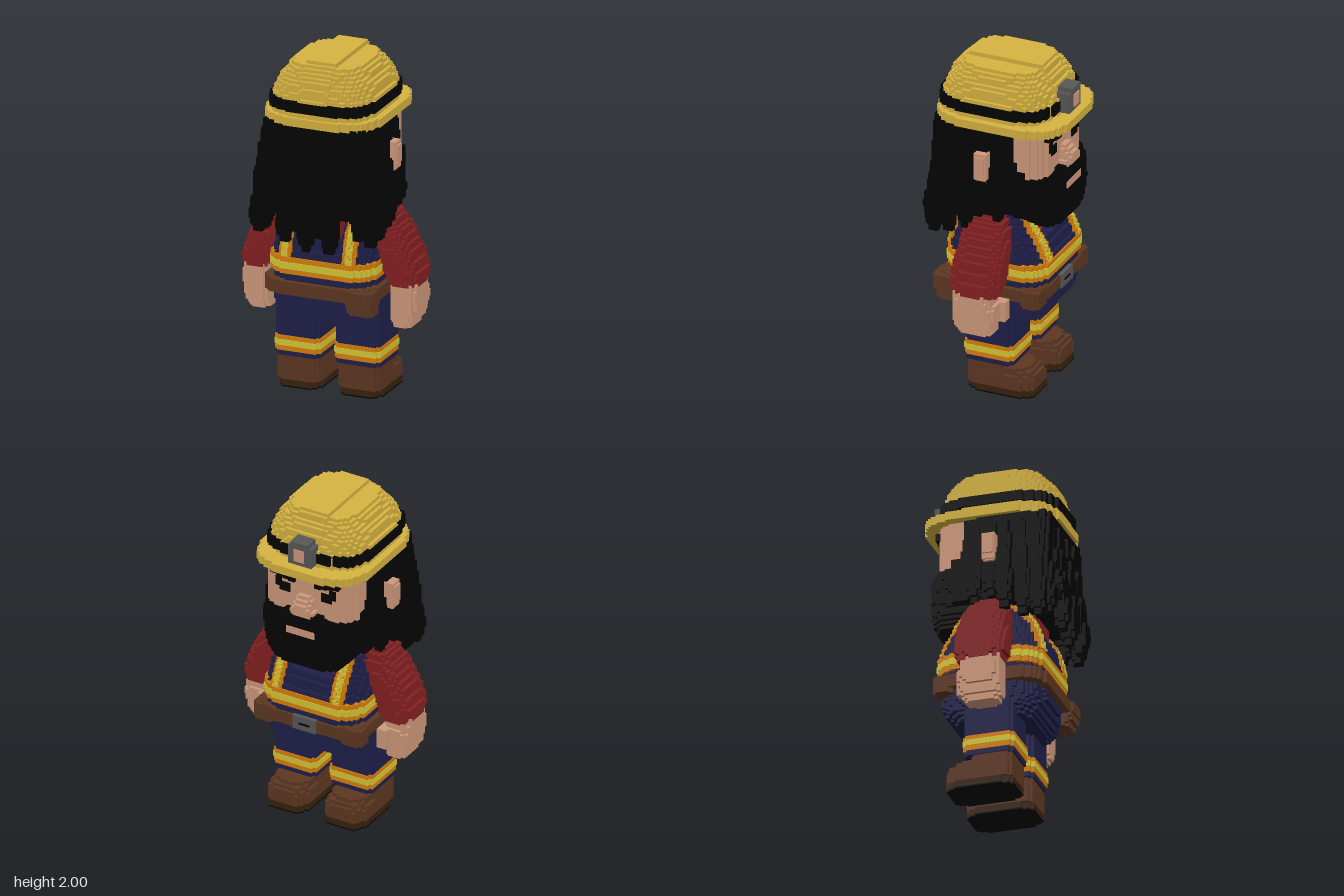
import * as THREE from 'three';

const mat = (name, color) => new THREE.MeshStandardMaterial({ name, color });
const M = {
  helmet: mat('helmet yellow', 0xd6b340), black: mat('black', 0x040404),
  skin: mat('skin', 0xcf997c), red: mat('shirt red', 0x862022),
  navy: mat('overall navy', 0x1f1f4a), orange: mat('safety orange', 0xd8800c),
  stripe: mat('reflective yellow', 0xd6c838), brown: mat('leather brown', 0x5e3722),
  sole: mat('dark sole', 0x38220e), grey: mat('metal grey', 0x585858),
};

// Interpolates rows of [y, x0, x1, z0, z1] at height y
function sectionAt(rows, y) {
  let i = 0;
  while (i < rows.length - 2 && y > rows[i + 1][0]) i++;
  const a = rows[i], b = rows[i + 1];
  const t = Math.min(1, Math.max(0, (y - a[0]) / (b[0] - a[0])));
  return a.map((v, k) => v + (b[k] - v) * t);
}

const step = (c, axis, d) => c.map((v, k) => (k === axis ? v + d : v));

// Fills rounded cross-sections with small cubes and keeps only the outer faces, joined into strips
function voxels(name, material, rows, p = 4, cell = 0.02, keep = () => true) {
  const col = (k, f) => f(...rows.map((r) => r[k]));
  const lo = [col(1, Math.min), rows[0][0], col(3, Math.min)];
  const hi = [col(2, Math.max), rows.at(-1)[0], col(4, Math.max)];
  const n = lo.map((v, k) => Math.max(1, Math.round((hi[k] - v) / cell)));
  const size = lo.map((v, k) => (hi[k] - v) / n[k]);
  const at = (k, i) => lo[k] + (i + 0.5) * size[k];
  const index = (c) => (c[0] * n[1] + c[1]) * n[2] + c[2];
  const grid = new Uint8Array(n[0] * n[1] * n[2]);
  const eachCell = (f) => {
    for (let i = 0; i < n[0]; i++) for (let j = 0; j < n[1]; j++) for (let k = 0; k < n[2]; k++) f([i, j, k]);
  };
  const sections = Array.from({ length: n[1] }, (_, j) => sectionAt(rows, at(1, j)));
  eachCell((c) => {
    const [, x0, x1, z0, z1] = sections[c[1]];
    const [x, y, z] = c.map((i, k) => at(k, i));
    const u = Math.abs((2 * x - x0 - x1) / (x1 - x0));
    const w = Math.abs((2 * z - z0 - z1) / (z1 - z0));
    grid[index(c)] = u ** p + w ** p <= 1 && keep(x, y, z) ? 1 : 0;
  });
  const filled = (c) => c.every((v, k) => v >= 0 && v < n[k]) && grid[index(c)] === 1;
  const pos = [];
  eachCell((c) => {
    if (!filled(c)) return;
    for (let a = 0; a < 3; a++) for (const s of [0, 1]) {
      const open = (q) => filled(q) && !filled(step(q, a, s ? 1 : -1));
      const run = a === 0 ? 2 : 0;
      if (!open(c) || open(step(c, run, -1))) continue;
      const extent = [1, 1, 1];
      while (open(step(c, run, extent[run]))) extent[run]++;
      const u = (a + 1) % 3, v = (a + 2) % 3;
      const q = [[0, 0], [1, 0], [1, 1], [0, 1]].map(([du, dv]) => {
        const corner = [...c];
        corner[a] += s; corner[u] += du * extent[u]; corner[v] += dv * extent[v];
        return corner.map((m, d) => lo[d] + m * size[d]);
      });
      for (const t of s ? [0, 1, 2, 0, 2, 3] : [0, 2, 1, 0, 3, 2]) pos.push(...q[t]);
    }
  });
  const g = new THREE.BufferGeometry();
  g.setAttribute('position', new THREE.Float32BufferAttribute(pos, 3));
  g.computeVertexNormals();
  const mesh = new THREE.Mesh(g, material);
  mesh.name = name;
  return mesh;
}

function box(name, material, x0, x1, y0, y1, z0, z1) {
  const m = new THREE.Mesh(new THREE.BoxGeometry(x1 - x0, y1 - y0, z1 - z0), material);
  m.position.set((x0 + x1) / 2, (y0 + y1) / 2, (z0 + z1) / 2);
  m.name = name;
  return m;
}

const flip = (rows) => rows.map(([y, a, b, c, d]) => [y, -b, -a, c, d]);
// Symmetric rows from [y, half width, front z, back z]
const sym = (rows) => rows.map(([y, w, f, b]) => [y, -w, w, f, b]);
const band = (y0, y1, w, f, b) => sym([[y0, w, f, b], [y1, w, f, b]]);

export function createModel() {
  const model = new THREE.Group();
  model.name = 'miner';
  const add = (...args) => model.add(voxels(...args));
  const addBox = (...args) => model.add(box(...args));

  // Legs, boots, arms and ears, mirrored
  for (const [side, s] of [['left', 1], ['right', -1]]) {
    const limb = (part, m, rows, p) => add(side + part, m, s > 0 ? rows : flip(rows), p);
    const slab = (part, m, y0, y1, x0, x1, z0, z1, p = 6) =>
      limb(part, m, [[y0, x0, x1, z0, z1], [y1, x0, x1, z0, z1]], p);
    slab('Leg', M.navy, 0.19, 0.54, 0.05, 0.318, -0.16, 0.13);
    slab('LegBand', M.orange, 0.22, 0.31, 0.044, 0.321, -0.165, 0.136);
    slab('LegStripe', M.stripe, 0.25, 0.285, 0.041, 0.324, -0.168, 0.139);
    slab('BootTread', M.black, 0, 0.008, 0.055, 0.315, -0.275, 0.122, 4);
    slab('BootSole', M.sole, 0.008, 0.045, 0.055, 0.315, -0.275, 0.122, 4);
    limb('BootFoot', M.brown, [[0.045, 0.056, 0.314, -0.273, 0.121], [0.11, 0.056, 0.314, -0.273, 0.121],
      [0.14, 0.07, 0.3, -0.255, 0.12], [0.17, 0.08, 0.29, -0.21, 0.12]], 4);
    slab('BootShaft', M.brown, 0.045, 0.2, 0.06, 0.312, -0.12, 0.12);
    limb('Sleeve', M.red, [[0.69, 0.37, 0.525, -0.13, 0.12], [0.75, 0.34, 0.535, -0.155, 0.14],
      [0.88, 0.3, 0.49, -0.16, 0.135], [1.0, 0.25, 0.43, -0.15, 0.12], [1.09, 0.2, 0.37, -0.12, 0.1],
      [1.13, 0.18, 0.32, -0.08, 0.06]], 3.4);
    limb('Hand', M.skin, [[0.44, 0.385, 0.48, -0.1, 0.1], [0.5, 0.375, 0.515, -0.12, 0.115],
      [0.6, 0.375, 0.53, -0.135, 0.115], [0.72, 0.375, 0.52, -0.11, 0.115]], 4.5);
    slab('Thumb', M.skin, 0.52, 0.64, 0.36, 0.42, -0.165, -0.05, 4);
    slab('Ear', M.skin, 1.36, 1.52, 0.29, 0.385, -0.03, 0.045);
    limb('EarLobe', M.skin, [[1.33, 0.3, 0.36, -0.01, 0.04], [1.42, 0.32, 0.395, -0.02, 0.04],
      [1.5, 0.32, 0.39, -0.02, 0.04]], 6);
    slab('BeltPouch', M.brown, 0.59, 0.69, 0.21, 0.35, -0.335, -0.22, 3);
  }

  // Hips and overalls
  add('hips', M.navy, sym([[0.45, 0.25, -0.24, 0.18], [0.5, 0.31, -0.3, 0.23], [0.56, 0.315, -0.33, 0.26],
    [0.68, 0.315, -0.33, 0.27]]), 4);
  const torso = [[0.68, 0.315, -0.335, 0.27], [0.84, 0.315, -0.335, 0.27], [0.93, 0.3, -0.3, 0.25],
    [1.01, 0.285, -0.25, 0.22], [1.08, 0.26, -0.22, 0.17], [1.14, 0.22, -0.17, 0.1]];
  add('overalls', M.navy, sym(torso), 4, 0.02, (x, y) => y < 0.97 || Math.abs(x) > 0.13);
  add('shirtCollar', M.red, band(0.95, 1.1, 0.16, -0.23, 0.205), 5);
  const grown = (e) => sym(torso.slice(1).map(([y, w, f, b]) => [y, w + e, f - e, b + e]));
  const strip = (c, h) => (x) => Math.abs(Math.abs(x) - c) < h;
  add('suspenders', M.orange, grown(0.018), 4, 0.0125, strip(0.195, 0.042));
  add('suspenderStripes', M.stripe, grown(0.025), 4, 0.0125, strip(0.19, 0.018));
  add('chestBand', M.orange, band(0.735, 0.835, 0.321, -0.342, 0.278), 5);
  add('chestStripe', M.stripe, band(0.765, 0.805, 0.325, -0.346, 0.282), 5);

  // Belt, buckle and back pouch
  add('belt', M.brown, band(0.62, 0.695, 0.345, -0.35, 0.305), 5);
  addBox('buckle', M.grey, -0.075, 0.075, 0.615, 0.7, -0.358, -0.33);
  addBox('buckleBar', M.black, -0.035, 0.035, 0.65, 0.662, -0.361, -0.355);
  add('backPouch', M.brown, [[0.545, 0.19, 0.34, 0.18, 0.28], [0.6, 0.19, 0.345, 0.17, 0.31],
    [0.64, 0.19, 0.345, 0.17, 0.31]], 5);
  add('backPouchFlap', M.brown, [[0.63, 0.185, 0.35, 0.16, 0.32], [0.69, 0.185, 0.35, 0.16, 0.32]], 5);

  // Head and face
  add('head', M.skin, band(1.34, 1.67, 0.29, -0.335, 0.2), 5);
  add('nose', M.skin, sym([[1.375, 0.05, -0.38, -0.3], [1.4, 0.075, -0.405, -0.3], [1.44, 0.06, -0.41, -0.3],
    [1.5, 0.035, -0.36, -0.3]]), 4);
  for (const s of [-1, 1]) {
    for (let i = 0; i < 4; i++) { // slanted brows
      const x = s * (0.085 + i * 0.038), y = 1.565 + i * 0.008;
      addBox('brow', M.black, x - 0.02, x + 0.02, y, y + 0.045, -0.355, -0.28);
    }
    addBox('eye', M.black, s * 0.135 - 0.035, s * 0.135 + 0.035, 1.485, 1.54, -0.342, -0.3);
    addBox('eyeCorner', M.black, s * 0.175 - 0.02, s * 0.175 + 0.02, 1.51, 1.57, -0.342, -0.3);
  }
  add('beard', M.black, sym([[1.05, 0.19, -0.37, -0.2], [1.1, 0.25, -0.39, -0.02], [1.2, 0.29, -0.395, 0.1],
    [1.32, 0.3, -0.385, 0.1], [1.37, 0.3, -0.365, 0.1]]), 4);
  add('moustache', M.black, sym([[1.3, 0.18, -0.4, -0.3], [1.35, 0.16, -0.4, -0.3], [1.395, 0.1, -0.37, -0.3]]), 6);
  addBox('mouth', M.skin, -0.09, 0.09, 1.26, 1.305, -0.402, -0.38);

  // Long hair with hanging locks, as [x, z, end height]
  add('hair', M.black, sym([[1.13, 0.335, -0.1, 0.34], [1.25, 0.345, -0.18, 0.36], [1.42, 0.335, -0.18, 0.345],
    [1.66, 0.315, -0.18, 0.335]]), 10);
  for (const s of [-1, 1]) addBox('sideburn', M.black, s * 0.295 - 0.03, s * 0.295 + 0.03, 1.15, 1.41, -0.23, -0.1);
  const locks = [[-0.02, 0.355, 0.925], [0.12, 0.35, 0.935], [-0.14, 0.345, 0.97], [0.05, 0.34, 1.01], [-0.08, 0.34, 1.03]];
  for (const s of [-1, 1]) {
    for (const [x, z, end] of [[0.2, 0.33, 1.13], [0.265, 0.31, 1.02], [0.325, 0.28, 0.98], [0.335, 0.2, 1.0],
      [0.345, 0.1, 1.04], [0.33, 0.02, 1.13], [0.315, -0.08, 1.11]]) locks.push([s * x, z, end]);
  }
  locks.forEach(([x, z, end], i) => {
    const out = 1.04 + ((i * 3) % 4) * 0.02;
    const row = (y, k, r) => [y, x * k - r, x * k + r, z * k - r, z * k + r];
    add('hairLock', M.black, [row(end, out, 0.026), row(end + 0.1, out, 0.042),
      row(1.32, 1.0, 0.04), row(1.6, 0.93, 0.026)], 4);
  });

  // Hard hat with brim, band, centre ridge and lamp
  add('brim', M.helmet, band(1.65, 1.7, 0.35, -0.435, 0.36), 3.6);
  add('helmetDome', M.helmet, sym([[1.69, 0.31, -0.33, 0.34], [1.8, 0.305, -0.33, 0.33], [1.87, 0.28, -0.31, 0.3],
    [1.94, 0.23, -0.26, 0.25], [1.975, 0.2, -0.23, 0.22]]), 3.6);
  add('helmetRidge', M.helmet, sym([[1.69, 0.09, -0.345, 0.345], [1.8, 0.09, -0.34, 0.335], [1.9, 0.09, -0.31, 0.3],
    [1.96, 0.09, -0.27, 0.24], [2, 0.09, -0.23, 0.2]]), 20);
  add('helmetBand', M.black, band(1.73, 1.79, 0.32, -0.35, 0.35), 3.6);
  addBox('lampBody', M.grey, -0.075, 0.075, 1.72, 1.84, -0.405, -0.32);
  addBox('lampHood', M.grey, -0.055, 0.055, 1.835, 1.87, -0.415, -0.32);
  addBox('lampRim', M.grey, -0.055, 0.055, 1.735, 1.84, -0.413, -0.38);
  addBox('lampLens', M.skin, -0.033, 0.033, 1.75, 1.825, -0.419, -0.41);
  return model;
}
